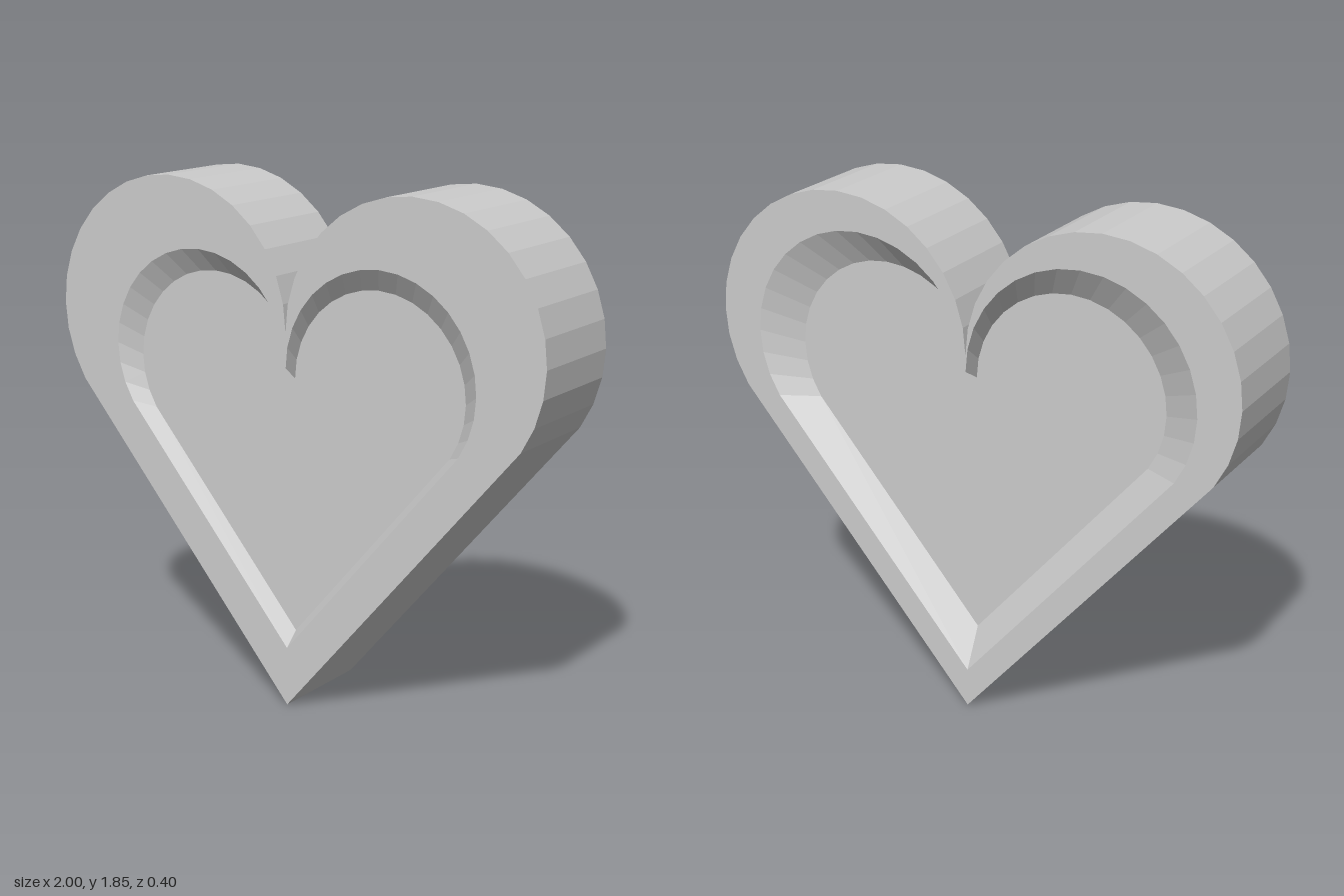
import * as THREE from 'three';

const material = new THREE.MeshStandardMaterial({ color: 0xcccccc, flatShading: true });

// Heart outline, counter-clockwise from the bottom tip: two 32-sided lobes and straight flanks
function heartOutline() {
  const right = [];
  for (let k = -3; k <= 16; k++) {
    const a = (k * Math.PI) / 16;
    right.push(new THREE.Vector2(0.5 + 0.5 * Math.cos(a), 1.35 + 0.5 * Math.sin(a)));
  }
  right[right.length - 1].x = 0; // valley lies on the mirror line
  const left = right.slice(0, -1).reverse().map((p) => new THREE.Vector2(-p.x, p.y));
  return [new THREE.Vector2(0, 0), ...right, ...left];
}

const outline = heartOutline();

// Scaled copy of the outline, raised by lift
const scaledHeart = ({ scale, lift }) =>
  outline.map((p) => new THREE.Vector2(p.x * scale, p.y * scale + lift));

// Skin joining successive heart sections, listed from front to back
function loft(sections) {
  const rings = sections.map((s) => scaledHeart(s).map((p) => [p.x, p.y, s.z]));
  const positions = [];
  for (let r = 0; r < rings.length - 1; r++) {
    const a = rings[r], b = rings[r + 1];
    for (let i = 0; i < a.length; i++) {
      const j = (i + 1) % a.length;
      positions.push(...a[i], ...b[i], ...b[j], ...a[i], ...b[j], ...a[j]);
    }
  }
  const geometry = new THREE.BufferGeometry();
  geometry.setAttribute('position', new THREE.Float32BufferAttribute(positions, 3));
  geometry.computeVertexNormals();
  return geometry;
}

function addMesh(group, name, geometry) {
  const mesh = new THREE.Mesh(geometry, material);
  mesh.name = name;
  group.add(mesh);
}

export function createModel() {
  const group = new THREE.Group();
  group.name = 'heart';

  const frontFloor = { scale: 0.68, lift: 0.265, z: 0.145 };
  const frontRim = { scale: 0.75, lift: 0.215, z: 0.2 };
  const frontEdge = { scale: 1, lift: 0, z: 0.2 };
  const backEdge = { scale: 1, lift: 0, z: -0.2 };
  const backRim = { scale: 0.85, lift: 0.145, z: -0.2 };
  const backFloor = { scale: 0.71, lift: 0.29, z: -0.125 };

  // Outer wall, flat rims and the sloping recess sides
  addMesh(group, 'frontBevel', loft([frontFloor, frontRim]));
  addMesh(group, 'frame', loft([frontRim, frontEdge, backEdge, backRim]));
  addMesh(group, 'backBevel', loft([backRim, backFloor]));

  // Recessed floors; the back one is turned to face -z
  const panel = (s) => new THREE.ShapeGeometry(new THREE.Shape(scaledHeart(s)));
  addMesh(group, 'frontPanel', panel(frontFloor).translate(0, 0, frontFloor.z));
  addMesh(group, 'backPanel', panel(backFloor).rotateY(Math.PI).translate(0, 0, backFloor.z));

  return group;
}
